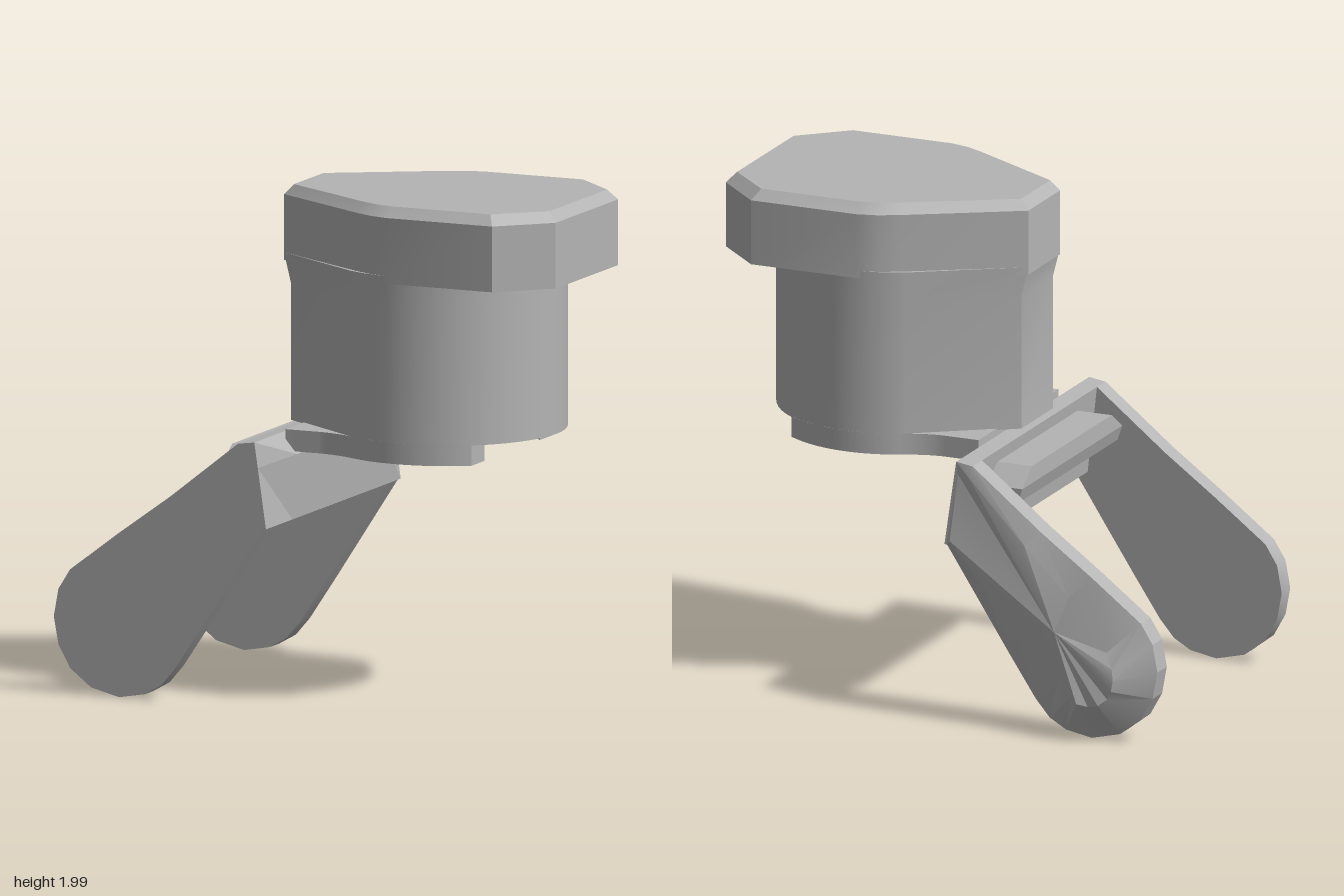
import * as THREE from 'three';
import { toCreasedNormals, mergeVertices } from 'three/addons/utils/BufferGeometryUtils.js';

const grey = new THREE.MeshStandardMaterial({ color: 0xb4b4b4 });
grey.name = 'plain grey';
const CX = 0.4, CZ = 0.05, R = 0.47; // axis and radius of the housing

// Closed solid through equal-length rings of [x, y, z], capped by fans
function loft(rings, crease = 0.5) {
  const n = rings[0].length, pos = [];
  const tri = (a, b, c) => pos.push(...a, ...b, ...c);
  const mid = ring => [0, 1, 2].map(k => ring.reduce((s, p) => s + p[k], 0) / n);
  const first = rings[0], last = rings[rings.length - 1];
  const c0 = mid(first), c1 = mid(last);
  for (let i = 0; i < n; i++) {
    const j = (i + 1) % n;
    for (let k = 0; k + 1 < rings.length; k++) {
      const a = rings[k], b = rings[k + 1];
      tri(a[i], a[j], b[j]);
      tri(a[i], b[j], b[i]);
    }
    tri(c0, first[j], first[i]);
    tri(c1, last[i], last[j]);
  }
  // Turn every face outward, using the sign of the enclosed volume
  let volume = 0;
  const [a, b, c] = [0, 1, 2].map(() => new THREE.Vector3());
  for (let i = 0; i < pos.length; i += 9) {
    a.fromArray(pos, i); b.fromArray(pos, i + 3); c.fromArray(pos, i + 6);
    volume += a.dot(b.cross(c));
  }
  if (volume < 0) {
    for (let i = 0; i < pos.length; i += 9) {
      for (let k = 0; k < 3; k++) [pos[i + 3 + k], pos[i + 6 + k]] = [pos[i + 6 + k], pos[i + 3 + k]];
    }
  }
  const geo = new THREE.BufferGeometry();
  geo.setAttribute('position', new THREE.Float32BufferAttribute(pos, 3));
  return toCreasedNormals(mergeVertices(geo), crease);
}

export function createModel() {
  const model = new THREE.Group();
  model.name = 'bracketedHousing';
  const add = (name, geometry) => {
    const mesh = new THREE.Mesh(geometry, grey);
    mesh.name = name;
    model.add(mesh);
  };

  // Housing: round on the left, tapering to a narrow flat face
  const bodyRing = (y, flatX) => {
    const ring = [[flatX, y, CZ + 0.15]];
    const sweep = 2.07;
    for (let i = 0; i <= 40; i++) {
      const t = sweep - (2 * sweep * i) / 40;
      ring.push([CX + R * Math.cos(t), y, CZ + R * Math.sin(t)]);
    }
    ring.push([flatX, y, CZ - 0.15]);
    return ring;
  };
  add('housing', loft([bodyRing(1.06, -0.2), bodyRing(1.6, -0.2), bodyRing(1.72, -0.23)], 0.4));

  // Overhanging lid with a bevelled rim
  const half = [[-0.23, 0.15], [0.2, 0.41], [0.28, 0.45], [0.36, 0.47], [0.81, 0.47], [1, 0.29]];
  const lidOutline = [...half, ...half.map(([x, z]) => [x, -z]).reverse()];
  const lidRing = (y, sx, sz) => lidOutline.map(([x, z]) => [0.385 + (x - 0.385) * sx, y, CZ + z * sz]);
  add('lid', loft([lidRing(1.69, 1, 1), lidRing(1.95, 1, 1), lidRing(1.99, 0.94, 0.915)], 0.3));

  // Open ring under the housing, joined to the bracket by a neck
  const ri = 0.38, cut = 0.28;
  const a0 = Math.acos(cut / R), a1 = Math.acos(cut / ri), join = 2.0;
  const base = new THREE.Shape();
  base.moveTo(cut, R * Math.sin(a0));
  base.absarc(0, 0, R, a0, join, false);
  base.quadraticCurveTo(-0.3, 0.375, -0.38, 0.375);
  base.lineTo(-0.52, 0.375);
  base.lineTo(-0.52, -0.375);
  base.lineTo(-0.38, -0.375);
  base.quadraticCurveTo(-0.3, -0.375, R * Math.cos(join), -R * Math.sin(join));
  base.absarc(0, 0, R, -join, -a0, false);
  base.lineTo(cut, -ri * Math.sin(a1));
  base.absarc(0, 0, ri, -a1, a1 - 2 * Math.PI, true);
  base.closePath();
  const ringGeo = new THREE.ExtrudeGeometry(base, { depth: 0.085, bevelEnabled: false, curveSegments: 32 });
  ringGeo.rotateX(-Math.PI / 2).translate(CX, 0.98, CZ);
  add('baseRing', toCreasedNormals(ringGeo, 0.5));

  // Crossbar: its outer face swells where the neck meets it
  const barSection = (z, bulgeX, bulgeY) => [
    [-0.14, 1.05, z], [bulgeX, bulgeY, z], [-0.09, 0.71, z], [-0.17, 0.69, z], [-0.21, 1.04, z],
  ];
  add('crossbar', loft([
    barSection(0.67, -0.125, 0.95), barSection(0.425, -0.07, 0.97),
    barSection(-0.33, -0.07, 0.97), barSection(-0.58, -0.125, 0.95),
  ], 0.2));

  // Stop block behind the crossbar, with sloping ends
  const block = (y, z0, z1, x0) => [[x0, y, z0], [-0.18, y, z0], [-0.18, y, z1], [x0, y, z1]];
  add('stopBlock', loft([block(0.86, -0.42, 0.52, -0.33), block(0.92, -0.42, 0.52, -0.35),
    block(0.99, -0.33, 0.42, -0.35)], 0.2));

  // Drop-shaped legs; the third value is the depth of the rear leg's relief
  const outline = [
    [-0.14, 1.05, 0.58], [-0.21, 1.04, 0.59], [-0.5, 0.81, 0.615], [-0.72, 0.65, 0.605],
    [-0.93, 0.49, 0.63], [-0.98, 0.41, 0.66], [-1, 0.3, 0.67], [-0.98, 0.19, 0.67],
    [-0.93, 0.1, 0.66], [-0.84, 0.03, 0.67], [-0.72, 0, 0.66], [-0.61, 0.02, 0.67],
    [-0.54, 0.06, 0.65], [-0.48, 0.13, 0.62], [-0.36, 0.31, 0.61], [-0.23, 0.51, 0.62],
    [-0.1, 0.71, 0.62],
  ];
  const legRing = z => outline.map(([x, y]) => [x, y, z]);
  add('frontLeg', loft([legRing(0.59), legRing(0.67)]));

  // Rear leg: the relief ring is drawn in towards a spine along the leg
  const relief = outline.map(([x, y, d]) => {
    const t = THREE.MathUtils.clamp(((x + 0.75) * 0.58 + (y - 0.25) * 0.6) / 0.7, 0, 1);
    const sx = -0.75 + 0.58 * t, sy = 0.25 + 0.6 * t;
    const k = 0.4 + 0.35 * t;
    return [sx + (x - sx) * k, sy + (y - sy) * k, -d];
  });
  add('rearLeg', loft([legRing(-0.49), legRing(-0.58), relief], 0.25));

  return model;
}
